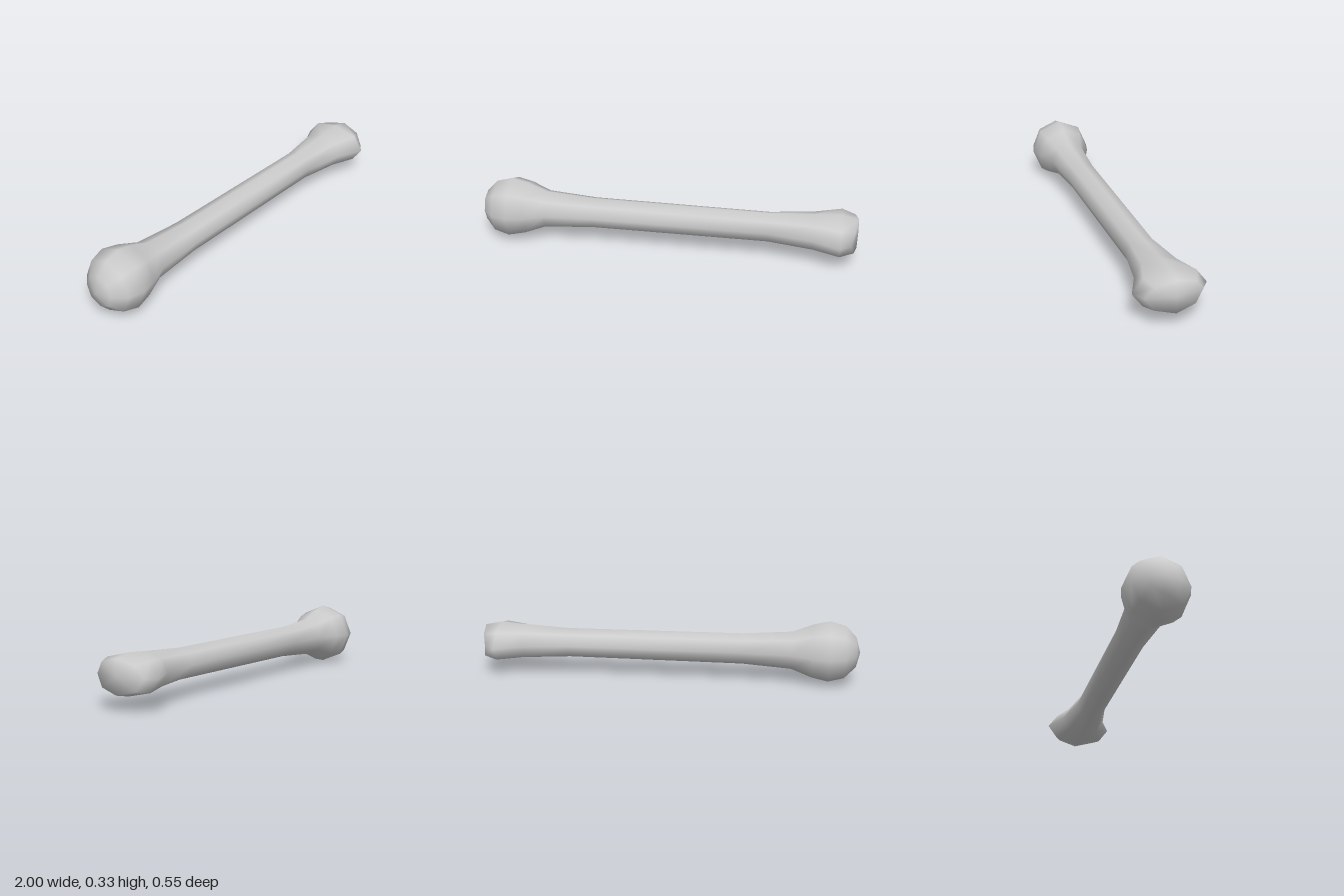
import * as THREE from 'three';

const SIDES = 8;
const CENTRE_Y = 0.168;
const SLOPE = -0.118; // drift of the bone axis in z per unit of x
const axisPoint = (x) => new THREE.Vector3(x, CENTRE_Y, 0.012 + SLOPE * x);

// Cross-sections along the bone: [x, half height, half width, bend of the ring's sides]
const SECTIONS = [
  [-0.978, 0.084, 0.082, 0],
  [-0.922, 0.144, 0.143, 0],
  [-0.84, 0.166, 0.166, 0],
  [-0.753, 0.146, 0.145, 0],
  [-0.647, 0.103, 0.102, 0],
  [-0.387, 0.084, 0.084, 0],
  [0.54, 0.080, 0.083, 0],
  [0.775, 0.094, 0.123, 0],
  [0.912, 0.103, 0.184, 0],
  [0.998, 0.085, 0.143, 0.032],
];

function boneGeometry() {
  const along = new THREE.Vector3(1, 0, SLOPE).normalize();
  const across = new THREE.Vector3(-SLOPE, 0, 1).normalize();
  const positions = [];
  const index = [];

  // Rings square to the slanted axis
  for (const [x, halfHeight, halfWidth, bend] of SECTIONS) {
    for (let j = 0; j < SIDES; j++) {
      const a = (j / SIDES) * Math.PI * 2;
      const p = axisPoint(x)
        .addScaledVector(across, halfWidth * Math.sin(a))
        .addScaledVector(along, -bend * Math.sin(a) ** 2);
      p.y += halfHeight * Math.cos(a);
      positions.push(p.x, p.y, p.z);
    }
  }

  // Skin between neighbouring rings
  const last = SECTIONS.length - 1;
  for (let i = 0; i < last; i++) {
    for (let j = 0; j < SIDES; j++) {
      const k = (j + 1) % SIDES;
      const a = i * SIDES + j, b = i * SIDES + k;
      index.push(a, b, a + SIDES, b, b + SIDES, a + SIDES);
    }
  }

  // Rounded end of the ball and end of the flared joint
  const ballPole = positions.length / 3;
  positions.push(...axisPoint(-1).toArray(), ...axisPoint(1).toArray());
  for (let j = 0; j < SIDES; j++) {
    const k = (j + 1) % SIDES;
    index.push(ballPole, k, j);
    index.push(ballPole + 1, last * SIDES + j, last * SIDES + k);
  }

  const geometry = new THREE.BufferGeometry();
  geometry.setAttribute('position', new THREE.Float32BufferAttribute(positions, 3));
  geometry.setIndex(index);
  geometry.computeVertexNormals();
  return geometry;
}

export function createModel() {
  const group = new THREE.Group();
  group.name = 'longBone';
  const bone = new THREE.Mesh(boneGeometry(), new THREE.MeshStandardMaterial({ color: 0xcccccc }));
  bone.name = 'bone';
  group.add(bone);
  return group;
}
